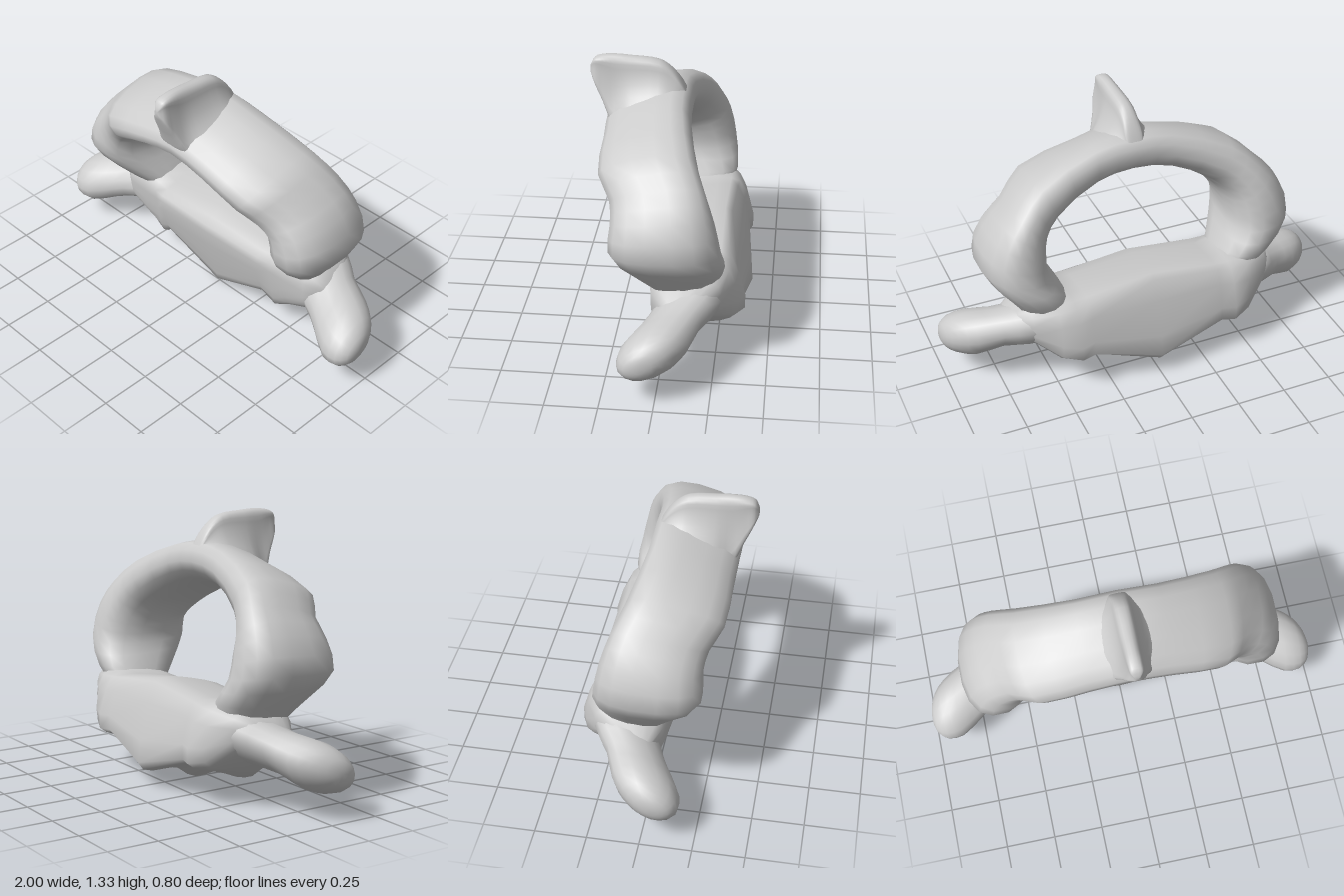
import * as THREE from 'three';

const material = new THREE.MeshStandardMaterial({ color: 0xcccccc });
const V = (x, y, z) => new THREE.Vector3(x, y, z);

// Rounds a closed loop of points by cutting its corners
function soften(loop, times) {
  for (let k = 0; k < times; k++) {
    loop = loop.flatMap((p, i) => {
      const q = loop[(i + 1) % loop.length];
      return [p.clone().lerp(q, 0.25), p.clone().lerp(q, 0.75)];
    });
  }
  return loop;
}

// Adds smooth in-between sections
function refine(sections, steps) {
  const curves = sections[0].map((_, j) => new THREE.CatmullRomCurve3(sections.map((s) => s[j])));
  const n = (sections.length - 1) * steps;
  return Array.from({ length: n + 1 }, (_, i) => curves.map((c) => c.getPoint(i / n)));
}

// Mirrors sections that start on the centre plane into a full left-right run
function mirrored(sections) {
  const other = sections.slice(1).reverse().map((s) => s.map((p) => V(-p.x, p.y, p.z)));
  return [...other, ...sections];
}

// Skins closed sections, caps both ends and turns the faces outward
function loft(name, sections) {
  const n = sections[0].length, last = sections.length - 1;
  const pts = sections.flat();
  const index = [];
  for (let i = 0; i < last; i++) {
    for (let j = 0; j < n; j++) {
      const a = i * n + j, b = i * n + (j + 1) % n;
      index.push(a, b, a + n, b, b + n, a + n);
    }
  }
  for (const end of [0, last]) {
    const mid = V(0, 0, 0);
    sections[end].forEach((p) => mid.addScaledVector(p, 1 / n));
    const c = pts.push(mid) - 1;
    for (let j = 0; j < n; j++) {
      const a = end * n + j, b = end * n + (j + 1) % n;
      index.push(c, ...(end ? [a, b] : [b, a]));
    }
  }
  let volume = 0;
  for (let i = 0; i < index.length; i += 3) {
    const [a, b, c] = [pts[index[i]], pts[index[i + 1]], pts[index[i + 2]]];
    volume += a.dot(b.clone().cross(c));
  }
  if (volume < 0) index.reverse();
  const geometry = new THREE.BufferGeometry().setFromPoints(pts);
  geometry.setIndex(index);
  geometry.computeVertexNormals();
  const mesh = new THREE.Mesh(geometry, material);
  mesh.name = name;
  return mesh;
}

// Wedge-shaped body: [x, outline as (z, y) pairs]
function body() {
  const rows = [
    [0, [.1, .45, .1, .36, .03, .08, .01, 0, -.09, 0, -.2, .08, -.36, .065, -.415, .14, -.31, .5, -.24, .535, -.05, .5]],
    [.34, [.08, .43, .09, .36, .06, .22, .03, .155, -.08, .155, -.2, .18, -.32, .18, -.38, .22, -.32, .47, -.24, .49, -.05, .46]],
    [.41, [.07, .43, .06, .32, .04, .18, .01, .09, -.08, .09, -.2, .14, -.33, .17, -.4, .22, -.33, .46, -.24, .49, -.05, .48]],
    [.5, [.07, .44, .06, .32, .04, .2, 0, .15, -.08, .15, -.18, .17, -.3, .19, -.36, .24, -.33, .45, -.24, .5, -.05, .5]],
    [.62, [.05, .42, .05, .32, .04, .26, .02, .22, -.05, .22, -.13, .23, -.2, .27, -.27, .31, -.28, .43, -.22, .48, -.05, .48]],
    [.7, [0, .37, 0, .33, 0, .31, -.02, .28, -.05, .28, -.1, .28, -.13, .29, -.18, .32, -.18, .38, -.14, .4, -.05, .4]],
  ];
  const sections = rows.map(([x, o]) => {
    const loop = [];
    for (let i = 0; i < o.length; i += 2) loop.push(V(x, o[i + 1], o[i]));
    return soften(loop, 1);
  });
  return loft('body', mirrored(sections));
}

// Broad arch: corners outer back, outer front, inner front, inner back
function arch() {
  const rows = [
    [[0, 1.22, -.07], [0, 1.08, .33], [0, .92, .31], [0, 1.0, -.11]],
    [[.2, 1.2, -.07], [.2, 1.04, .32], [.2, .885, .31], [.2, .97, -.12]],
    [[.51, 1.09, -.13], [.5, .97, .32], [.36, .81, .29], [.41, .86, -.17]],
    [[.645, .975, -.19], [.625, .88, .24], [.43, .75, .25], [.48, .78, -.21]],
    [[.75, .84, -.23], [.74, .79, .23], [.47, .7, .23], [.49, .7, -.25]],
    [[.8, .65, -.26], [.8, .64, .24], [.48, .62, .23], [.48, .6, -.28]],
    [[.69, .49, -.27], [.71, .5, .16], [.43, .51, .13], [.42, .5, -.3]],
    [[.58, .32, -.2], [.6, .34, .0], [.36, .38, .0], [.36, .38, -.24]],
  ];
  const sections = rows.map((r) => soften(r.map((p) => V(...p)), 2));
  return loft('arch', refine(mirrored(sections), 2));
}

// Tent-like crest flaring into the arch: [z, top, base, half width at top, at base]
function spine() {
  const rows = [
    [-.08, 1.12, 1.08, .03, .07], [-.04, 1.2, 1.08, .04, .15], [.01, 1.265, 1.07, .035, .2],
    [.07, 1.305, 1.05, .035, .22], [.2, 1.32, 1.0, .035, .2], [.28, 1.325, .97, .035, .13],
    [.34, 1.32, 1.09, .035, .07], [.38, 1.305, 1.18, .03, .045], [.4, 1.27, 1.23, .012, .015],
  ];
  const sections = rows.map(([z, top, base, a, b]) => {
    const h = top - base;
    const side = [[a, top], [a * .8 + b * .1, top - h * .28], [a * .65 + b * .35, base + h * .4], [b, base]];
    const loop = [...side, ...side.map(([x, y]) => [-x, y]).reverse()];
    return soften(loop.map(([x, y]) => V(x, y, z)), 2);
  });
  return loft('spine', refine(sections, 3));
}

// Side process: [x, y, z, long radius, short radius], tilted up toward the back
function sideProcess(side) {
  const rows = [
    [.46, .32, -.13, .17, .1], [.62, .32, -.12, .17, .11], [.74, .28, -.05, .16, .1],
    [.86, .24, .01, .17, .115], [.94, .23, .04, .14, .095], [.985, .225, .055, .085, .06],
    [1, .225, .06, .03, .025],
  ];
  const tilt = 0.5;
  const sections = rows.map(([x, y, z, a, b]) => Array.from({ length: 16 }, (_, j) => {
    const t = (j / 16) * Math.PI * 2;
    const u = a * Math.cos(t), v = b * Math.sin(t);
    return V(side * x, y - u * Math.sin(tilt) + v * Math.cos(tilt), z + u * Math.cos(tilt) + v * Math.sin(tilt));
  }));
  return loft(side > 0 ? 'leftProcess' : 'rightProcess', refine(sections, 2));
}

export function createModel() {
  const group = new THREE.Group();
  group.name = 'vertebra';
  group.add(body(), arch(), spine(), sideProcess(1), sideProcess(-1));
  return group;
}
